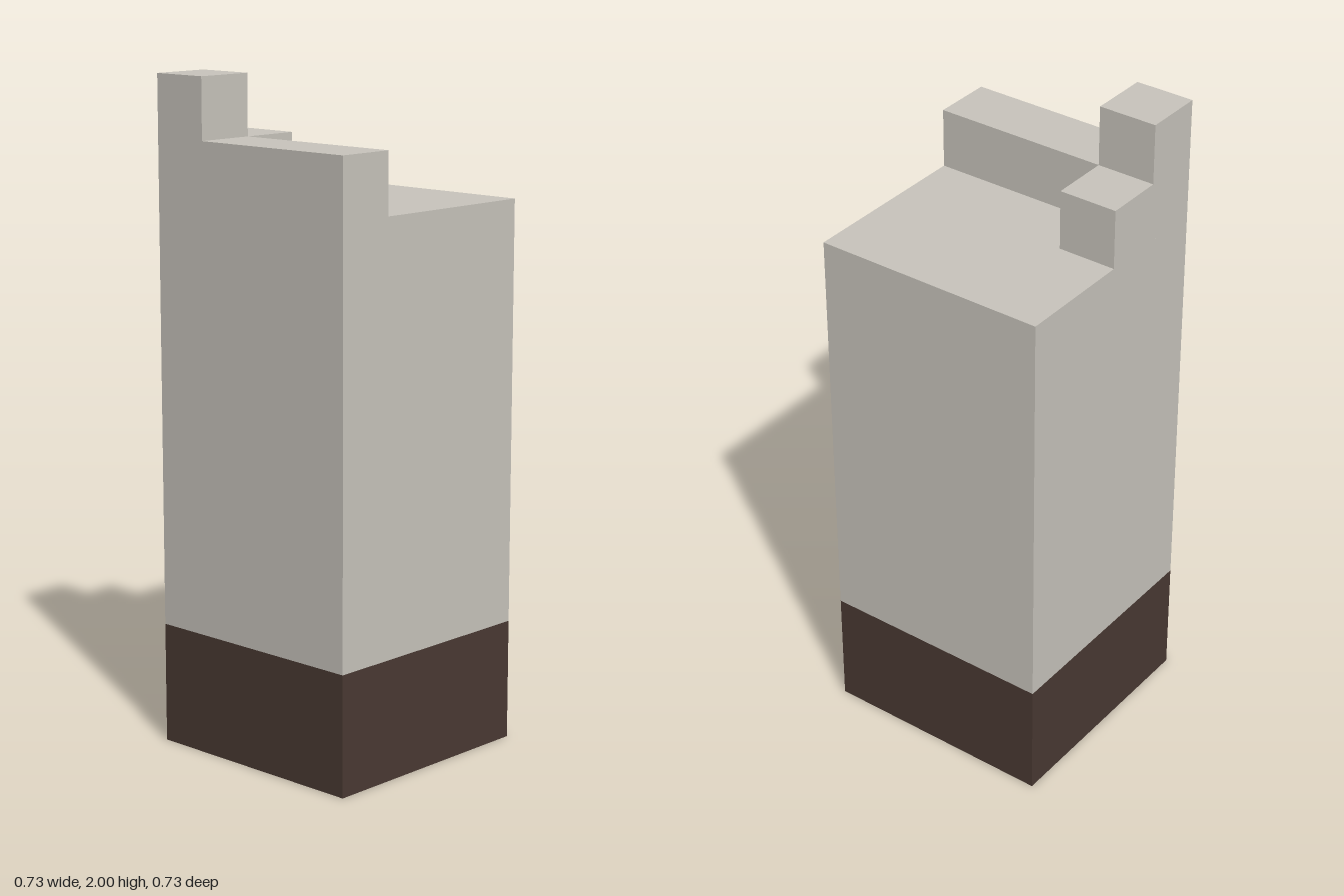
import * as THREE from 'three';

// One block unit: the pillar is 4 units wide and 11 units tall.
const U = 2 / 11;

export function createModel() {
  const model = new THREE.Group();
  model.name = 'brokenPillar';

  const stone = new THREE.MeshStandardMaterial({ color: 0xc9c5bd });
  stone.name = 'paleStone';
  const soil = new THREE.MeshStandardMaterial({ color: 0x4a3a33 });
  soil.name = 'darkBrown';

  // Box spanning two corners, given in block units.
  function block(name, material, [x0, y0, z0], [x1, y1, z1]) {
    const geometry = new THREE.BoxGeometry((x1 - x0) * U, (y1 - y0) * U, (z1 - z0) * U);
    const mesh = new THREE.Mesh(geometry, material);
    mesh.position.set((x0 + x1) / 2 * U, (y0 + y1) / 2 * U, (z0 + z1) / 2 * U);
    mesh.name = name;
    model.add(mesh);
  }

  // Base and shaft
  block('base', soil, [-2, 0, -2], [2, 2, 2]);
  block('shaft', stone, [-2, 2, -2], [2, 9, 2]);

  // Stepped, broken top
  block('sideRidge', stone, [-2, 9, -2], [-1, 10, 2]);
  block('backStep', stone, [-1, 9, -2], [0, 10, -1]);
  block('cornerPeak', stone, [-2, 10, -2], [-1, 11, -1]);

  return model;
}
